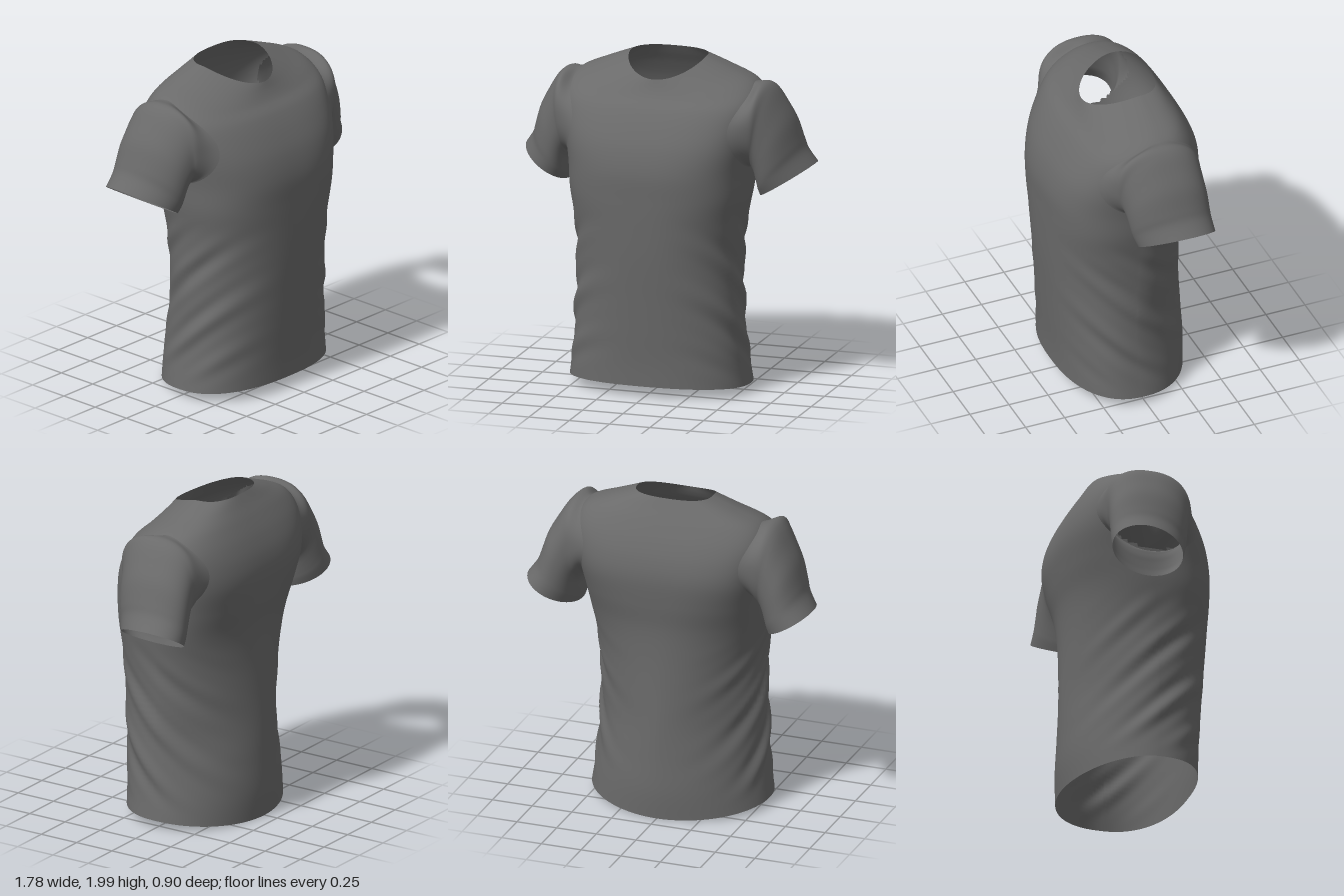
import * as THREE from 'three';

const cloth = new THREE.MeshStandardMaterial({ color: 0x6a6a6a, side: THREE.DoubleSide });
cloth.name = 'dark grey cloth';

// Torso rings, hem to neckline:
// [yFront, ySide, yBack, halfWidth, zFront, zBack, zSide, front squareness, back squareness]
const torsoRings = [
  [0.08, 0.06, 0.01, 0.55, 0.38, -0.41, 0.02, 2.4, 1.95],
  [0.22, 0.21, 0.18, 0.53, 0.385, -0.42, 0.03, 2.4, 1.9],
  [0.41, 0.4, 0.39, 0.515, 0.4, -0.415, 0.04, 2.3, 1.8],
  [0.6, 0.6, 0.6, 0.505, 0.415, -0.41, 0.04, 2.3, 1.7],
  [0.85, 0.85, 0.85, 0.5, 0.435, -0.402, 0.03, 2.3, 1.85],
  [1.05, 1.05, 1.05, 0.515, 0.445, -0.4, 0.02, 2.4, 2.0],
  [1.22, 1.22, 1.22, 0.54, 0.45, -0.407, 0.0, 2.6, 2.2],
  [1.38, 1.38, 1.38, 0.552, 0.45, -0.43, -0.03, 2.7, 2.6],
  [1.52, 1.54, 1.54, 0.575, 0.42, -0.445, -0.05, 2.8, 3.0],
  [1.64, 1.68, 1.66, 0.595, 0.365, -0.43, -0.07, 2.8, 3.0],
  [1.74, 1.79, 1.77, 0.595, 0.3, -0.39, -0.08, 2.7, 2.9],
  [1.8, 1.87, 1.87, 0.54, 0.24, -0.335, -0.09, 2.4, 2.7],
  [1.85, 1.935, 1.945, 0.39, 0.205, -0.285, -0.1, 2.2, 2.6],
  [1.9, 1.995, 2.0, 0.235, 0.18, -0.25, -0.1, 1.9, 2.6],
];

// Sleeve rings, armhole to cuff: [xTop, yTop, xBottom, yBottom, zFront, zBack]
const sleeveRings = [
  [0.61, 1.872, 0.565, 1.375, 0.205, -0.325],
  [0.66, 1.835, 0.573, 1.35, 0.18, -0.32],
  [0.715, 1.75, 0.578, 1.325, 0.165, -0.322],
  [0.77, 1.65, 0.58, 1.295, 0.153, -0.326],
  [0.81, 1.53, 0.583, 1.265, 0.14, -0.328],
  [0.835, 1.46, 0.587, 1.235, 0.126, -0.33],
  [0.89, 1.38, 0.595, 1.2, 0.105, -0.333],
];

// Smooth interpolation between rings or points, t from 0 to 1
function ringAt(rings, t) {
  const last = rings.length - 1;
  const i = Math.min(Math.floor(t * last), last - 1);
  const f = t * last - i;
  const [a, b, c, d] = [i - 1, i, i + 1, i + 2].map((k) => rings[THREE.MathUtils.clamp(k, 0, last)]);
  return b.map((p, k) => {
    const m0 = (c[k] - a[k]) / 2, m1 = (d[k] - p) / 2, e = c[k] - p;
    return p + f * (m0 + f * (3 * e - 2 * m0 - m1 + f * (m0 + m1 - 2 * e)));
  });
}

// Raise to a power, keeping the sign
const signedPow = (v, p) => Math.sign(v) * Math.abs(v) ** p;

// Skin a closed loop of points along the rows; skip() leaves openings
function loft(rows, cols, pointAt, skip = () => false) {
  const pos = [], index = [], hidden = [];
  for (let i = 0; i <= rows; i++) {
    for (let j = 0; j < cols; j++) {
      const t = i / rows, angle = (j / cols) * Math.PI * 2;
      pos.push(...pointAt(t, angle));
      hidden.push(skip(t, angle));
    }
  }
  for (let i = 0; i < rows; i++) {
    for (let j = 0; j < cols; j++) {
      const n = (j + 1) % cols;
      const a = i * cols + j, b = i * cols + n, c = a + cols, d = b + cols;
      if ([a, b, c, d].every((k) => hidden[k])) continue;
      index.push(a, c, b, b, c, d);
    }
  }
  const geo = new THREE.BufferGeometry();
  geo.setAttribute('position', new THREE.Float32BufferAttribute(pos, 3));
  geo.setIndex(index);
  geo.computeVertexNormals();
  return geo;
}

function torsoPoint(t, a) {
  const [yF, yS, yB, w, zF, zB, zS, nF, nB] = ringAt(torsoRings, t);
  const c = Math.cos(a), s = Math.sin(a);
  const n = s > 0 ? nF : nB;
  const across = signedPow(c, 2 / n);
  const depth = Math.abs(s) ** (2 / n);
  let x = w * across;
  const y = yS + ((s > 0 ? yF : yB) - yS) * depth ** 1.4;
  let z = zS + ((s > 0 ? zF : zB) - zS) * depth;
  // diagonal folds at the waist, fading toward the centre, hem and chest
  const fade = Math.abs(across) ** 3 * THREE.MathUtils.smoothstep(y, 0.08, 0.35)
    * (1 - THREE.MathUtils.smoothstep(y, 0.8, 1.2));
  const phase = y - 0.95 * z;
  const fold = fade * (0.009 * Math.sin(phase * 24) + 0.005 * Math.sin(phase * 41 + 1 + c));
  x += fold * c;
  z += fold * s;
  return [x, y, z];
}

// Armhole: an oval on the torso, by height along the rings and depth round them
const hole = { t: 0.69, height: 0.155, depth: 0.75, power: 1.4 };

function armholePoint(side, angle, scale) {
  const d = -side * Math.sin(angle) * hole.depth * scale;
  const a = Math.asin(signedPow(d, hole.power));
  return torsoPoint(hole.t + hole.height * scale * Math.cos(angle), side > 0 ? a : Math.PI - a);
}

const inArmhole = (t, a) =>
  Math.hypot((t - hole.t) / hole.height, Math.abs(Math.sin(a)) ** (1 / hole.power) / hole.depth) < 0.98;

// The sleeve leaves the torso along its surface, then follows its own rings,
// growing rounder and leaning back toward the cuff
function sleevePoint(side) {
  return (t, a) => {
    const keys = [
      armholePoint(side, a, 1.2),
      armholePoint(side, a, 1),
      ...sleeveRings.map(([xT, yT, xB, yB, zF, zB], i) => {
        const along = i / (sleeveRings.length - 1);
        const power = 0.84 + 0.16 * along;
        const rise = signedPow(Math.cos(a), power);
        const up = (1 + rise) / 2;
        return [
          side * (xB + (xT - xB) * up),
          yB + (yT - yB) * up,
          (zF + zB) / 2 - (side * signedPow(Math.sin(a), power) * (zF - zB)) / 2 - 0.05 * along * rise,
        ];
      }),
    ];
    const start = 1 / (keys.length - 1);
    return ringAt(keys, start + t * (1 - start));
  };
}

export function createModel() {
  const shirt = new THREE.Group();
  shirt.name = 'shirt';
  const add = (name, geo) => {
    const mesh = new THREE.Mesh(geo, cloth);
    mesh.name = name;
    shirt.add(mesh);
  };
  add('torso', loft(104, 160, torsoPoint, inArmhole));
  add('leftSleeve', loft(42, 72, sleevePoint(1)));
  add('rightSleeve', loft(42, 72, sleevePoint(-1)));
  return shirt;
}
